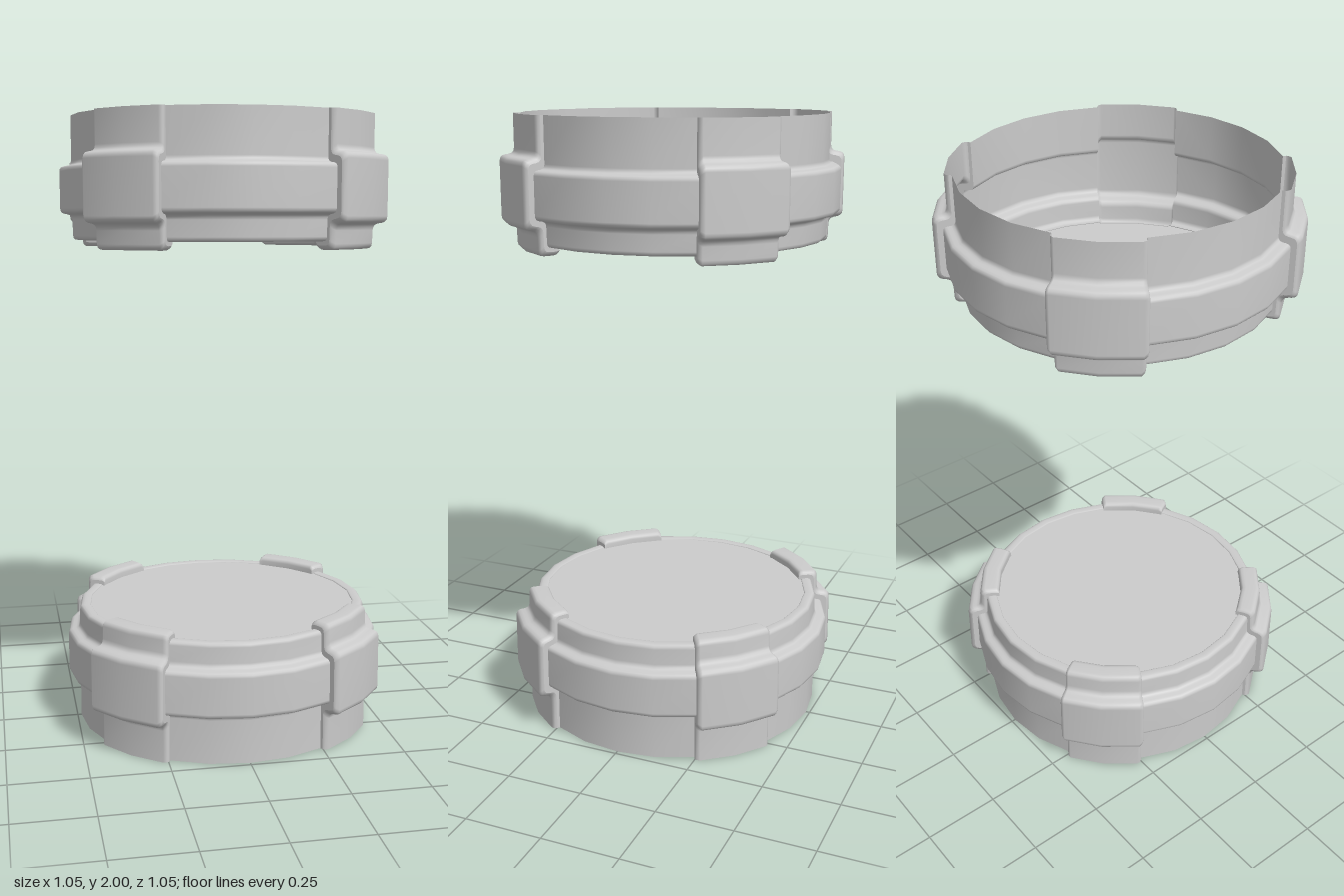
import * as THREE from 'three';

const material = new THREE.MeshStandardMaterial({ color: 0xcccccc, side: THREE.DoubleSide });
const rad = THREE.MathUtils.degToRad;

// Profile of [radius, height] corners, each inner corner rounded off
function rounded(corners, size) {
  const pts = corners.map(([r, y]) => new THREE.Vector2(r, y));
  const out = [pts[0]];
  for (let i = 1; i < pts.length - 1; i++) {
    const toward = (q) => {
      const d = q.clone().sub(pts[i]);
      return pts[i].clone().add(d.setLength(Math.min(size, d.length() * 0.45)));
    };
    const curve = new THREE.QuadraticBezierCurve(toward(pts[i - 1]), pts[i], toward(pts[i + 1]));
    out.push(...curve.getPoints(3));
  }
  out.push(pts[pts.length - 1]);
  return out;
}

// Skin between profiles standing at the given angles around the axis
function sweep(stations) {
  const pos = [], index = [], n = stations[0].profile.length;
  stations.forEach(({ angle, profile }, s) => {
    const a = rad(angle);
    profile.forEach((p) => pos.push(p.x * Math.cos(a), p.y, p.x * Math.sin(a)));
    if (s === 0) return;
    for (let i = 0; i < n - 1; i++) {
      const a0 = (s - 1) * n + i, b0 = s * n + i;
      index.push(a0, a0 + 1, b0, a0 + 1, b0 + 1, b0);
    }
  });
  const geo = new THREE.BufferGeometry();
  geo.setAttribute('position', new THREE.Float32BufferAttribute(pos, 3));
  geo.setIndex(index);
  geo.computeVertexNormals();
  return geo;
}

// Thin wall with its raised band and rounded rim
const wallProfile = rounded([
  [0.487, 0], [0.487, 0.155], [0.525, 0.16], [0.525, 0.305],
  [0.487, 0.312], [0.485, 0.39], [0.45, 0.39], [0.449, 0.384],
], 0.014);

// Hollow clamp; e shrinks it at its rounded ends
const clampProfile = (e) => rounded([
  [0.51 - e, 0], [0.51 - e, 0.122 + e], [0.556 - e, 0.128 + e], [0.556 - e, 0.333 - e],
  [0.51 - e, 0.34 - e], [0.508 - e, 0.416 - e], [0.44, 0.416 - e], [0.44, 0.384],
], 0.018);

function mesh(name, geometry) {
  const m = new THREE.Mesh(geometry, material);
  m.name = name;
  return m;
}

function createCap(name) {
  const cap = new THREE.Group();
  cap.name = name;

  const wallGeo = sweep([-30, -15, 0, 15, 30].map((angle) => ({ angle, profile: wallProfile })));
  const clampGeo = sweep([
    [30, 0.013], [30.4, 0.006], [31.6, 0], [45, 0], [58.4, 0], [59.6, 0.006], [60, 0.013],
  ].map(([angle, e]) => ({ angle, profile: clampProfile(e) })));

  // Flat end of a clamp, filling the gap between the two profiles
  const endGeo = new THREE.ShapeGeometry(
    new THREE.Shape([...clampProfile(0.013), ...[...wallProfile].reverse()]));

  for (let i = 0; i < 4; i++) {
    const quarter = new THREE.Group();
    quarter.name = 'quarter';
    quarter.rotation.y = i * Math.PI / 2;
    quarter.add(mesh('bandedWall', wallGeo), mesh('clamp', clampGeo));
    for (const angle of [30, 60]) {
      const end = mesh('clampEnd', endGeo);
      end.rotation.y = -rad(angle);
      quarter.add(end);
    }
    cap.add(quarter);
  }

  // Closing plate
  const plate = mesh('plate', new THREE.CircleGeometry(0.452, 24).rotateX(-Math.PI / 2));
  plate.position.y = 0.386;
  cap.add(plate);
  return cap;
}

export function createModel() {
  const model = new THREE.Group();
  model.name = 'capPair';
  const lower = createCap('lowerCap');
  // Upper cap is turned over, open side up
  const upper = createCap('upperCap');
  upper.rotation.x = Math.PI;
  upper.position.y = 2;
  model.add(lower, upper);
  return model;
}
